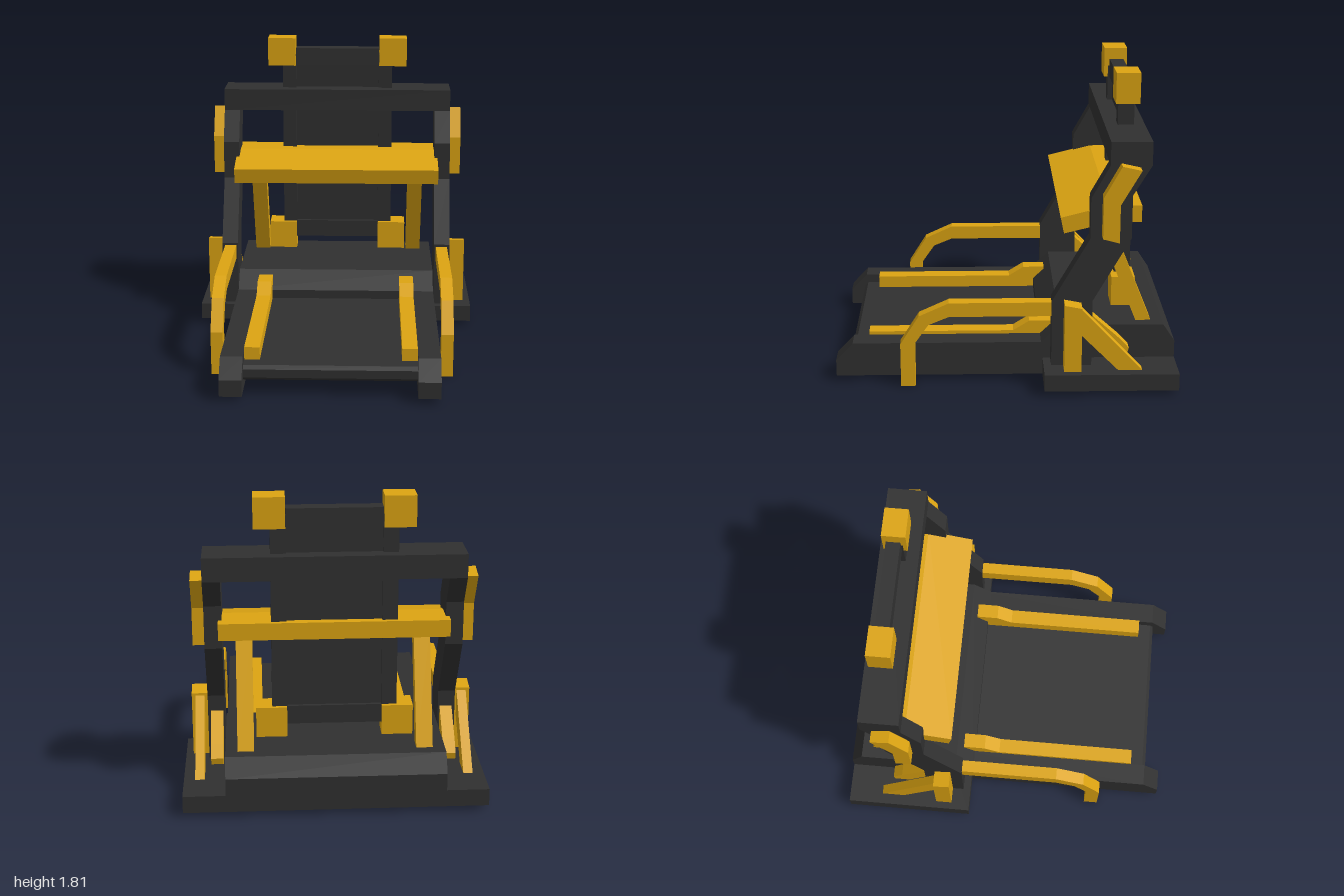
import * as THREE from 'three';

export function createModel() {
  const model = new THREE.Group();
  const black = new THREE.MeshStandardMaterial({ color: 0x303030 });
  black.name = 'charcoal';
  const yellow = new THREE.MeshStandardMaterial({ color: 0xdca412 });
  yellow.name = 'golden yellow';

  function add(name, geometry, material) {
    const mesh = new THREE.Mesh(geometry, material);
    mesh.name = name;
    model.add(mesh);
  }

  // box from its minimum and maximum on each axis
  function box(name, material, [x0, x1], [y0, y1], [z0, z1]) {
    const g = new THREE.BoxGeometry(x1 - x0, y1 - y0, z1 - z0);
    g.translate((x0 + x1) / 2, (y0 + y1) / 2, (z0 + z1) / 2);
    add(name, g, material);
  }

  // side profile of [z, y] points, extruded from x0 to x1
  function slab(name, material, [x0, x1], points) {
    const shape = new THREE.Shape(points.map(([z, y]) => new THREE.Vector2(z, y)));
    const g = new THREE.ExtrudeGeometry(shape, { depth: x1 - x0, bevelEnabled: false });
    g.rotateY(-Math.PI / 2);
    g.translate(x1, 0, 0);
    add(name, g, material);
  }

  // the same part on the left and the right
  function slabPair(name, material, [x0, x1], points) {
    slab(name + 'Left', material, [x0, x1], points);
    slab(name + 'Right', material, [-x1, -x0], points);
  }
  function boxPair(name, material, [x0, x1], y, z) {
    box(name + 'Left', material, [x0, x1], y, z);
    box(name + 'Right', material, [-x1, -x0], y, z);
  }

  // base, motor hood and running deck
  box('basePlate', black, [-0.875, 0.875], [0.03, 0.132], [-1, -0.22]);
  slab('motorHood', black, [-0.63, 0.63], [
    [-0.21, 0.12], [-0.21, 0.235], [-0.32, 0.34], [-0.93, 0.34], [-1, 0.235], [-1, 0.12],
  ]);
  slabPair('sideRail', black, [0.5, 0.63], [
    [1, 0.03], [1, 0.13], [0.9, 0.235], [-0.3, 0.235], [-0.3, 0.03],
  ]);
  slab('runningBelt', black, [-0.5, 0.5], [
    [0.89, 0.09], [0.91, 0.11], [0.91, 0.16], [0.89, 0.18], [-0.3, 0.18], [-0.3, 0.09],
  ]);
  slabPair('deckBar', yellow, [0.41, 0.5], [
    [0.81, 0.17], [0.81, 0.255], [-0.05, 0.255], [-0.145, 0.315], [-0.28, 0.315], [-0.28, 0.17],
  ]);

  // bent uprights with the top crossbar
  slabPair('upright', black, [0.635, 0.735], [
    [-0.265, 0.13], [-0.265, 0.535], [-0.48, 0.915], [-0.48, 1.155], [-0.585, 1.345],
    [-0.82, 1.345], [-0.715, 1.17], [-0.715, 0.915], [-0.5, 0.535], [-0.5, 0.13],
  ]);
  box('topCrossbar', black, [-0.735, 0.735], [1.345, 1.483], [-0.82, -0.585]);

  // yellow trim and braces outside the uprights
  slabPair('upperGuard', yellow, [0.735, 0.805], [
    [-0.645, 1.36], [-0.755, 1.335], [-0.64, 1.135], [-0.64, 0.91], [-0.545, 0.935], [-0.545, 1.18],
  ]);
  slabPair('lowerPost', yellow, [0.725, 0.832], [
    [-0.335, 0.13], [-0.335, 0.545], [-0.435, 0.525], [-0.435, 0.13],
  ]);
  slabPair('lowerBrace', yellow, [0.755, 0.81], [
    [-0.43, 0.515], [-0.43, 0.355], [-0.65, 0.132], [-0.79, 0.132],
  ]);

  // handrails running down to the ground in front and to the hood behind
  slabPair('handrail', yellow, [0.645, 0.717], [
    [0.615, 0], [0.615, 0.265], [0.505, 0.44], [0.33, 0.52], [-0.41, 0.52], [-0.66, 0.295], [-0.72, 0.23],
    [-0.71, 0.19], [-0.62, 0.19], [-0.38, 0.435], [0.33, 0.435], [0.45, 0.385], [0.53, 0.27], [0.53, 0],
  ]);

  // console shelf and the braces that hold it from behind
  slab('consoleShelf', yellow, [-0.655, 0.655], [
    [-0.315, 1.015], [-0.335, 0.92], [-0.6, 0.985], [-0.78, 0.985], [-0.78, 1.085], [-0.59, 1.085],
  ]);
  slabPair('rearBrace', yellow, [0.465, 0.56], [
    [-0.865, 0.335], [-0.606, 0.975], [-0.52, 0.975], [-0.775, 0.335],
  ]);

  // back panel in its frame, with four corner blocks
  boxPair('panelColumn', black, [0.27, 0.357], [0.46, 1.7], [-0.755, -0.66]);
  box('backPanel', black, [-0.27, 0.27], [0.5, 1.7], [-0.735, -0.69]);
  for (const [name, y] of [['panelTopRail', 1.63], ['panelBottomRail', 0.46]]) {
    box(name, black, [-0.27, 0.27], [y, y + 0.11], [-0.755, -0.67]);
  }
  boxPair('upperCornerBlock', yellow, [0.272, 0.45], [1.63, 1.81], [-0.777, -0.637]);
  boxPair('lowerCornerBlock', yellow, [0.272, 0.45], [0.39, 0.57], [-0.777, -0.637]);

  return model;
}
